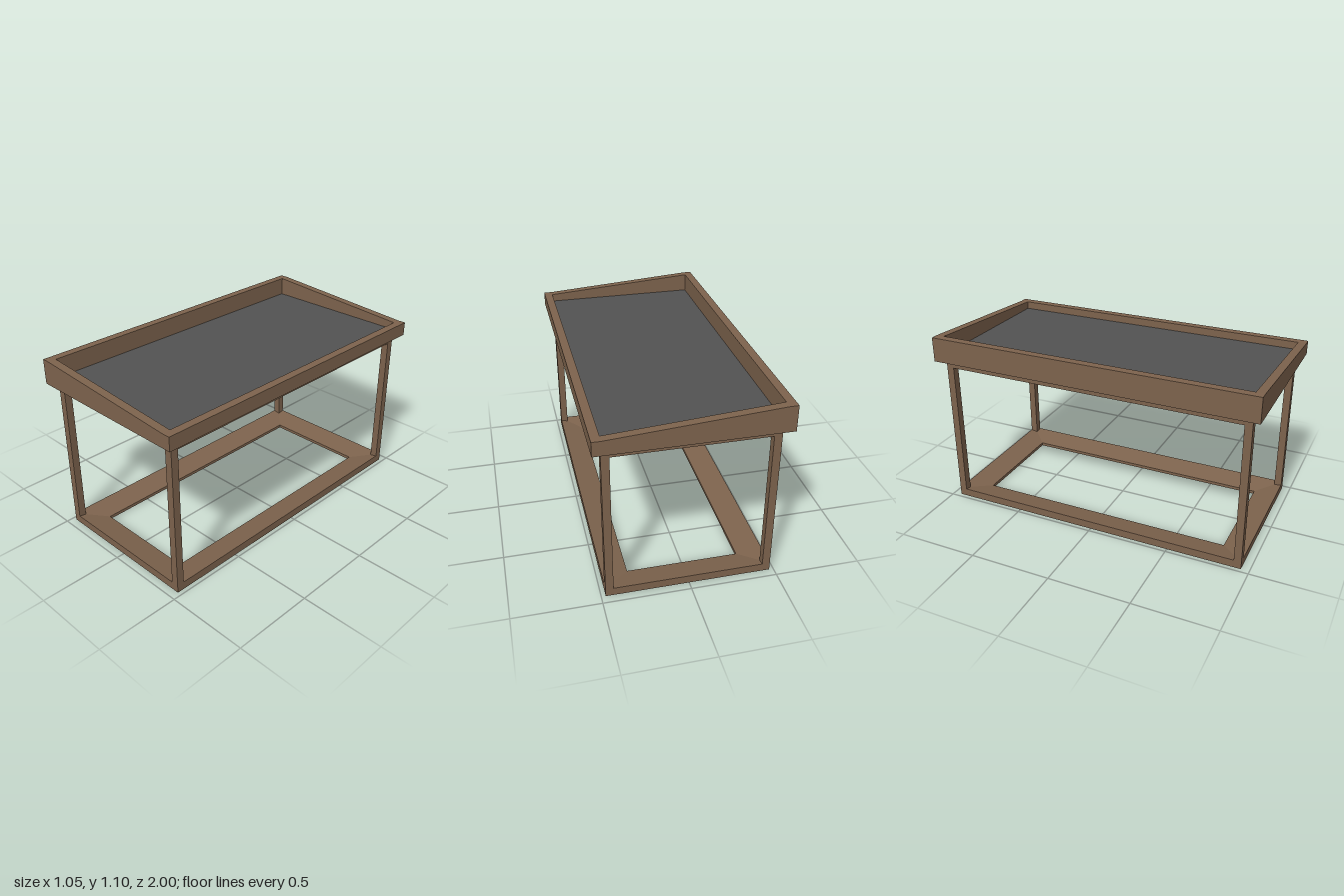
import * as THREE from 'three';

const wood = new THREE.MeshStandardMaterial({ color: 0x7d634d, flatShading: true });
const felt = new THREE.MeshStandardMaterial({ color: 0x525252, flatShading: true });

// Box given by its centre in x and z and its bottom and top heights
function block(name, w, d, y0, y1, x = 0, z = 0, material = wood) {
  const mesh = new THREE.Mesh(new THREE.BoxGeometry(w, y1 - y0, d), material);
  mesh.position.set(x, (y0 + y1) / 2, z);
  mesh.name = name;
  return mesh;
}

// Mitred rectangular frame: a profile of [inset, height] swept round four corners
function mitredFrame(hx, hz, profile) {
  const corners = [[-1, 1], [1, 1], [1, -1], [-1, -1]];
  const point = (c, p) => [corners[c][0] * (hx - p[0]), p[1], corners[c][1] * (hz - p[0])];
  const pos = [];
  for (let c = 0; c < 4; c++) {
    const n = (c + 1) % 4;
    profile.forEach((p, i) => {
      const q = profile[(i + 1) % profile.length];
      const a = point(c, p), b = point(n, p), d = point(n, q), e = point(c, q);
      pos.push(...a, ...b, ...d, ...a, ...d, ...e);
    });
  }
  const geo = new THREE.BufferGeometry();
  geo.setAttribute('position', new THREE.Float32BufferAttribute(pos, 3));
  geo.computeVertexNormals();
  return geo;
}

export function createModel() {
  const model = new THREE.Group();
  model.name = 'slopedRimTable';
  const hx = 0.475, hz = 0.95, post = 0.045;

  // Base frame, its top sloping down to the inside
  const base = new THREE.Mesh(
    mitredFrame(hx, hz, [[0, 0], [0, 0.048], [0.15, 0.02], [0.15, 0]]), wood);
  base.name = 'baseFrame';
  model.add(base);

  // Corner posts
  for (const sx of [-1, 1]) for (const sz of [-1, 1]) {
    model.add(block('cornerPost', post, post, 0.04, 0.91,
      sx * (hx - post / 2), sz * (hz - post / 2)));
  }

  // Slab on the posts, tray bottom and dark tray surface
  model.add(block('supportSlab', 2 * hx, 2 * hz, 0.903, 0.951));
  model.add(block('trayBottom', 0.95, 1.9, 0.95, 0.975));
  model.add(block('traySurface', 0.95, 1.9, 0.975, 0.987, 0, 0, felt));

  // Long rims: high on one side, low on the other
  model.add(block('highRim', 0.05, 2, 0.95, 1.1, -0.5));
  model.add(block('lowRim', 0.05, 2, 0.95, 1.034, 0.5));

  // Sloping end rims
  const end = new THREE.Shape([[-0.475, 0.95], [0.475, 0.95], [0.475, 1.034], [-0.475, 1.1]]
    .map(([x, y]) => new THREE.Vector2(x, y)));
  const endGeo = new THREE.ExtrudeGeometry(end, { depth: 0.05, bevelEnabled: false });
  for (const z of [-1, 0.95]) {
    const rim = new THREE.Mesh(endGeo, wood);
    rim.position.z = z;
    rim.name = 'slopingEndRim';
    model.add(rim);
  }
  return model;
}
